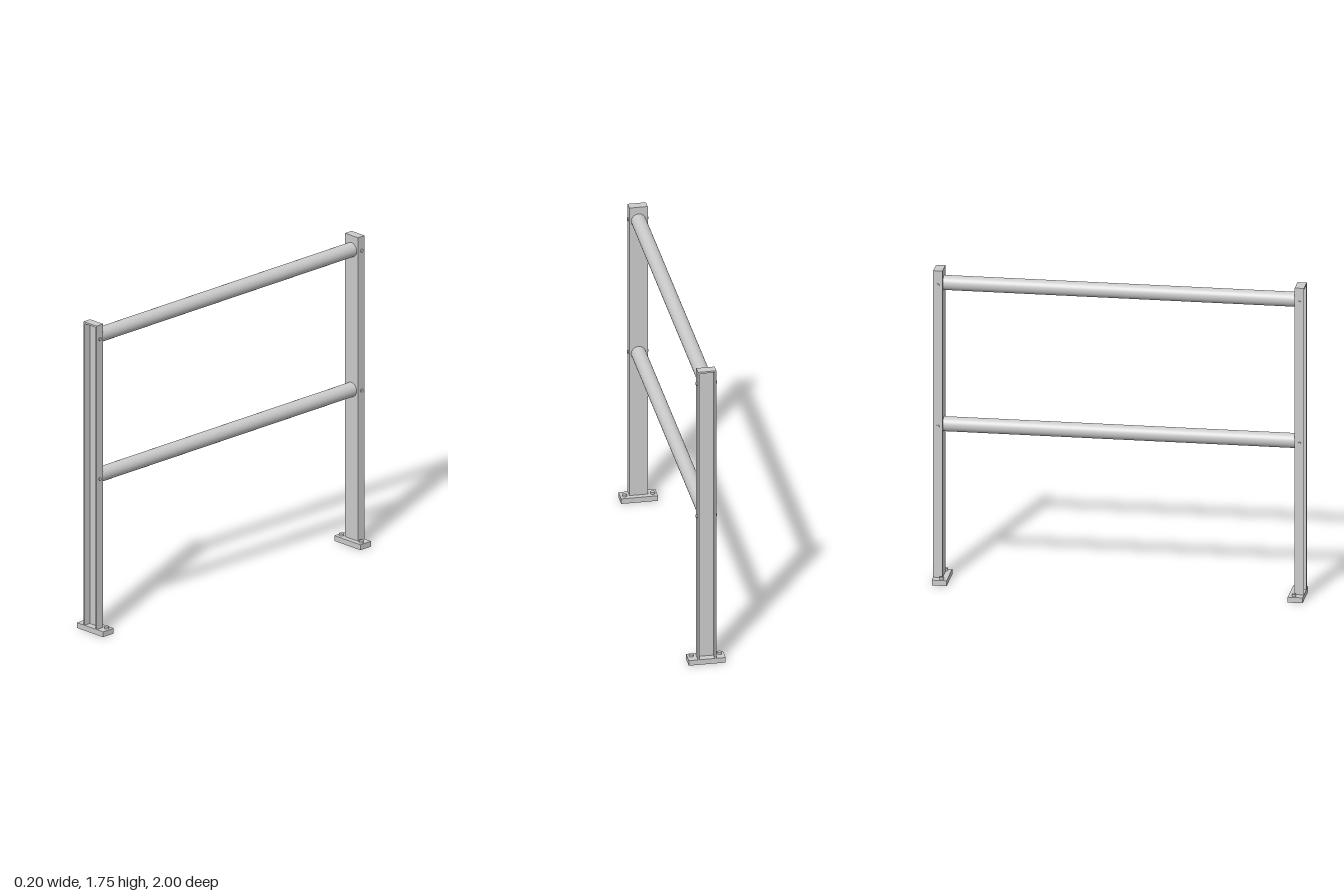
import * as THREE from 'three';

const material = new THREE.MeshStandardMaterial({ color: 0xcccccc });
const RAIL_HEIGHTS = [0.88, 1.675];

function add(parent, name, geometry, x, y, z) {
  const mesh = new THREE.Mesh(geometry, material);
  mesh.name = name;
  mesh.position.set(x, y, z);
  parent.add(mesh);
  return mesh;
}

// Channel post with its open side outward (+z), foot plate and bolts
function createPost(name) {
  const post = new THREE.Group();
  post.name = name;

  // U-shaped section, extruded upward (shape y becomes -z)
  const section = new THREE.Shape([
    [-0.05, -0.95], [-0.05, -1], [-0.041, -1], [-0.041, -0.96],
    [0.041, -0.96], [0.041, -1], [0.05, -1], [0.05, -0.95],
  ].map(([x, y]) => new THREE.Vector2(x, y)));
  const channel = new THREE.ExtrudeGeometry(section, { depth: 1.715, bevelEnabled: false });
  channel.rotateX(-Math.PI / 2);
  add(post, 'channel', channel, 0, 0.03, 0);

  add(post, 'topCap', new THREE.BoxGeometry(0.1, 0.01, 0.05), 0, 1.75, 0.975);
  add(post, 'basePlate', new THREE.BoxGeometry(0.2, 0.03, 0.08), 0, 0.015, 0.96);

  for (const side of [-1, 1]) {
    // Anchor bolt in the foot plate
    add(post, 'anchorBolt', new THREE.CylinderGeometry(0.012, 0.012, 0.012, 16),
      side * 0.076, 0.036, 0.95);
    // Rail bolts through the channel flanges
    for (const y of RAIL_HEIGHTS) {
      const bolt = add(post, 'railBolt', new THREE.CylinderGeometry(0.009, 0.009, 0.008, 16),
        side * 0.053, y, 0.976);
      bolt.rotation.z = Math.PI / 2;
    }
  }
  return post;
}

export function createModel() {
  const model = new THREE.Group();
  model.name = 'guardRail';

  const frontPost = createPost('frontPost');
  const backPost = createPost('backPost');
  backPost.rotation.y = Math.PI;
  model.add(frontPost, backPost);

  // Round rails between the posts
  for (const y of RAIL_HEIGHTS) {
    const rail = add(model, y > 1 ? 'topRail' : 'middleRail',
      new THREE.CylinderGeometry(0.04, 0.04, 1.9, 40), 0, y, 0);
    rail.rotation.x = Math.PI / 2;
  }
  return model;
}
